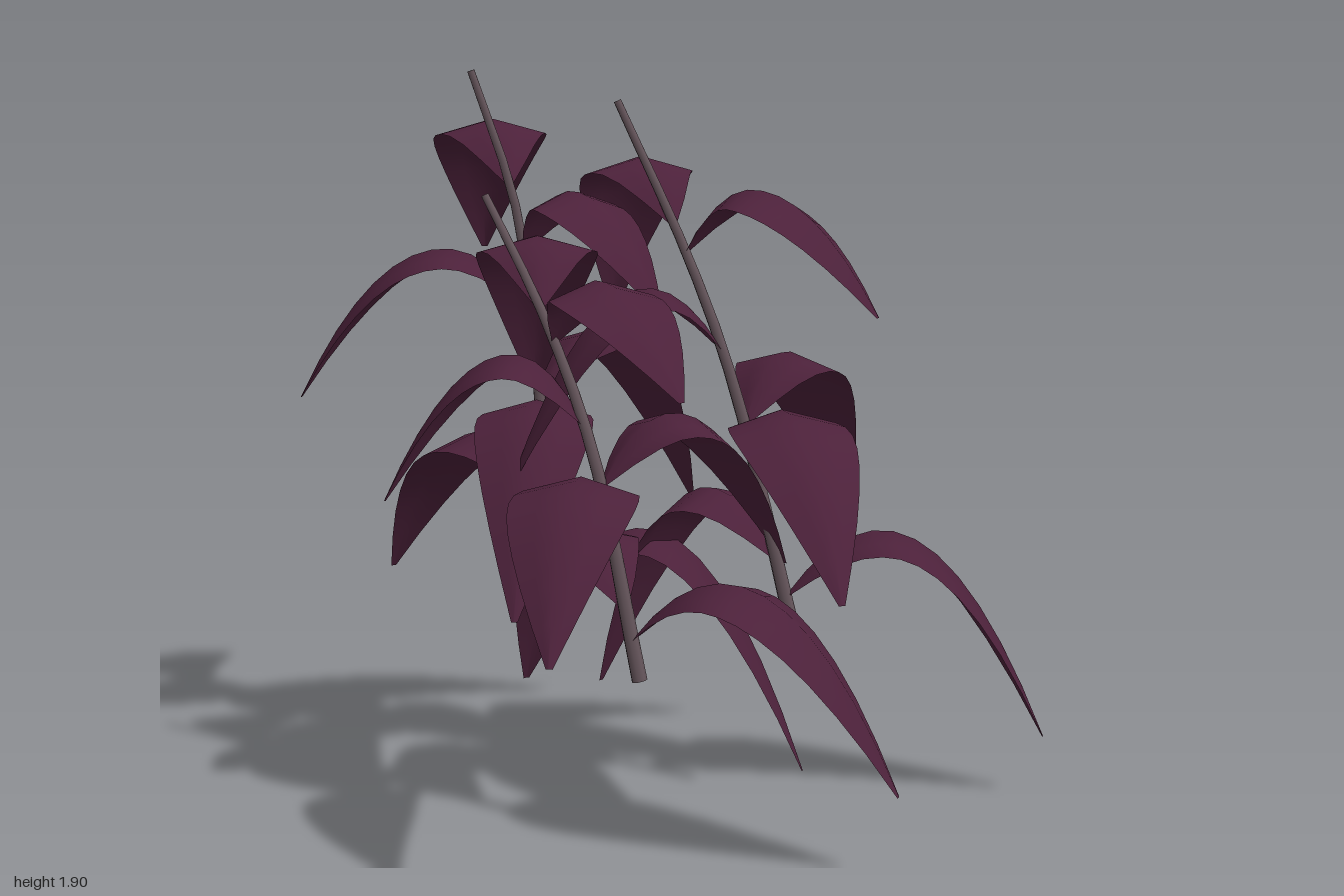
import * as THREE from 'three';

const V = (x, y, z) => new THREE.Vector3(x, y, z);

// Each stem: points from bottom to top, then for its leaves in spiral order
// going up: height on the stem, sideways sway and tip position.
const STEMS = [
  {
    name: 'rearStem',
    path: [V(-0.325, 0.45, -0.34), V(-0.36, 1.1, -0.31), V(-0.41, 1.55, -0.28), V(-0.52, 1.9, -0.26)],
    heights: [0.51, 0.735, 0.896, 1.04, 1.27, 1.43, 1.605],
    sways: [0, 0, 0.01, -0.015, 0.02, 0, 0.02],
    tips: [V(0.36, 0, -0.355), V(-0.885, 0.43, -0.87), V(-0.33, 0.57, 0.3), V(0.02, 0.68, -0.76),
      V(-1, 1.03, -0.28), V(0.0, 1.3, -0.03), V(-0.57, 1.4, -0.72)],
  },
  {
    name: 'leftStem',
    path: [V(0.35, 0.43, -0.07), V(0.185, 1.1, -0.08), V(0.075, 1.41, -0.085), V(-0.115, 1.83, -0.08)],
    heights: [0.56, 0.66, 0.92, 1.01, 1.2, 1.45, 1.52],
    sways: [0.035, 0, 0, 0, 0, -0.015, 0.03],
    tips: [V(1, 0.165, -0.2), V(-0.2, 0.24, -0.36), V(0.48, 0.69, 0.53), V(0.47, 0.68, -0.57),
      V(-0.37, 0.87, 0.1), V(0.55, 1.31, 0.09), V(-0.17, 1.26, -0.44)],
  },
  {
    name: 'frontStem',
    path: [V(-0.02, 0.43, 0.3), V(-0.14, 1.0, 0.265), V(-0.26, 1.32, 0.23), V(-0.41, 1.61, 0.18)],
    heights: [0.53, 0.61, 0.81, 0.91, 1.06, 1.26, 1.34],
    sways: [0, 0, -0.025, 0, -0.03, 0, 0],
    tips: [V(0.62, 0.21, 0.47), V(-0.38, 0.29, -0.19), V(-0.16, 0.615, 0.87), V(0.32, 0.65, -0.07),
      V(-0.67, 0.85, 0.21), V(0.11, 1.17, 0.58), V(-0.35, 1.08, -0.2)],
  },
];

// Tapered tube along a curve
function stemGeometry(curve, r0, r1) {
  const rows = 12, sides = 7;
  const geo = new THREE.TubeGeometry(curve, rows, 1, sides);
  const pos = geo.attributes.position;
  const p = new THREE.Vector3();
  for (let i = 0; i <= rows; i++) {
    const c = curve.getPointAt(i / rows);
    for (let j = 0; j <= sides; j++) {
      const k = i * (sides + 1) + j;
      p.fromBufferAttribute(pos, k).sub(c).multiplyScalar(r0 + (r1 - r0) * i / rows).add(c);
      pos.setXYZ(k, p.x, p.y, p.z);
    }
  }
  return geo;
}

// Arching leaf from base to tip, folded gently down along its midrib
function leafGeometry(base, tip, sway) {
  const rows = 12, cols = 4, peakAt = 0.36, rise = 0.165, halfWidth = 0.153, fold = 0.28;
  const dir = V(tip.x - base.x, 0, tip.z - base.z);
  const len = dir.length();
  dir.normalize();
  const side = V(0, 1, 0).cross(dir);
  const drop = base.y + rise - tip.y;
  const positions = [], index = [];
  for (let i = 0; i <= rows; i++) {
    const u = i / rows;
    // two parabolas meet at the top of the arch
    const reach = u < peakAt ? peakAt : 1 - peakAt;
    const fall = u < peakAt ? rise : drop;
    const q = (u - peakAt) / reach;
    const slope = -2 * fall * q / reach / len;
    const centre = base.clone().addScaledVector(dir, u * len).addScaledVector(side, sway * 4 * u * (1 - u));
    centre.y = base.y + rise - fall * q * q;
    const normal = dir.clone().multiplyScalar(-slope).add(V(0, 1, 0)).normalize();
    const w = Math.max(0.008, halfWidth * Math.pow(Math.max(0, Math.sin(Math.PI * Math.pow(u, 0.93))), 0.8));
    for (let j = 0; j <= cols; j++) {
      const s = (j / cols) * 2 - 1;
      const p = centre.clone().addScaledVector(side, s * w).addScaledVector(normal, -Math.abs(s) * w * fold);
      positions.push(p.x, p.y, p.z);
      if (i < rows && j < cols) {
        const a = i * (cols + 1) + j, b = a + cols + 1;
        index.push(a, b, a + 1, b, b + 1, a + 1);
      }
    }
  }
  const geo = new THREE.BufferGeometry();
  geo.setAttribute('position', new THREE.Float32BufferAttribute(positions, 3));
  geo.setIndex(index);
  geo.computeVertexNormals();
  return geo;
}

// Point of the stem at a given height
function pointAtHeight(curve, y) {
  let lo = 0, hi = 1;
  for (let i = 0; i < 25; i++) {
    const mid = (lo + hi) / 2;
    if (curve.getPoint(mid).y < y) lo = mid; else hi = mid;
  }
  return curve.getPoint(lo);
}

export function createModel() {
  const leafPurple = new THREE.MeshStandardMaterial({ color: 0x4c213a, side: THREE.DoubleSide });
  leafPurple.name = 'leafPurple';
  const stemBrown = new THREE.MeshStandardMaterial({ color: 0x64545a });
  stemBrown.name = 'stemBrown';

  const model = new THREE.Group();
  model.name = 'plant';
  for (const { name, path, heights, sways, tips } of STEMS) {
    const branch = new THREE.Group();
    branch.name = name + 'Branch';
    const curve = new THREE.CatmullRomCurve3(path);

    const stem = new THREE.Mesh(stemGeometry(curve, 0.02, 0.01), stemBrown);
    stem.name = name;
    branch.add(stem);

    // end caps
    for (const [t, r, sign] of [[0, 0.02, -1], [1, 0.01, 1]]) {
      const cap = new THREE.Mesh(new THREE.CircleGeometry(r, 7), stemBrown);
      cap.name = 'stemEnd';
      cap.position.copy(curve.getPointAt(t));
      cap.quaternion.setFromUnitVectors(V(0, 0, 1), curve.getTangentAt(t).multiplyScalar(sign));
      branch.add(cap);
    }

    tips.forEach((tip, k) => {
      const base = pointAtHeight(curve, heights[k]);
      const leaf = new THREE.Mesh(leafGeometry(base, tip, sways[k]), leafPurple);
      leaf.name = 'leaf';
      branch.add(leaf);
    });
    model.add(branch);
  }
  return model;
}
